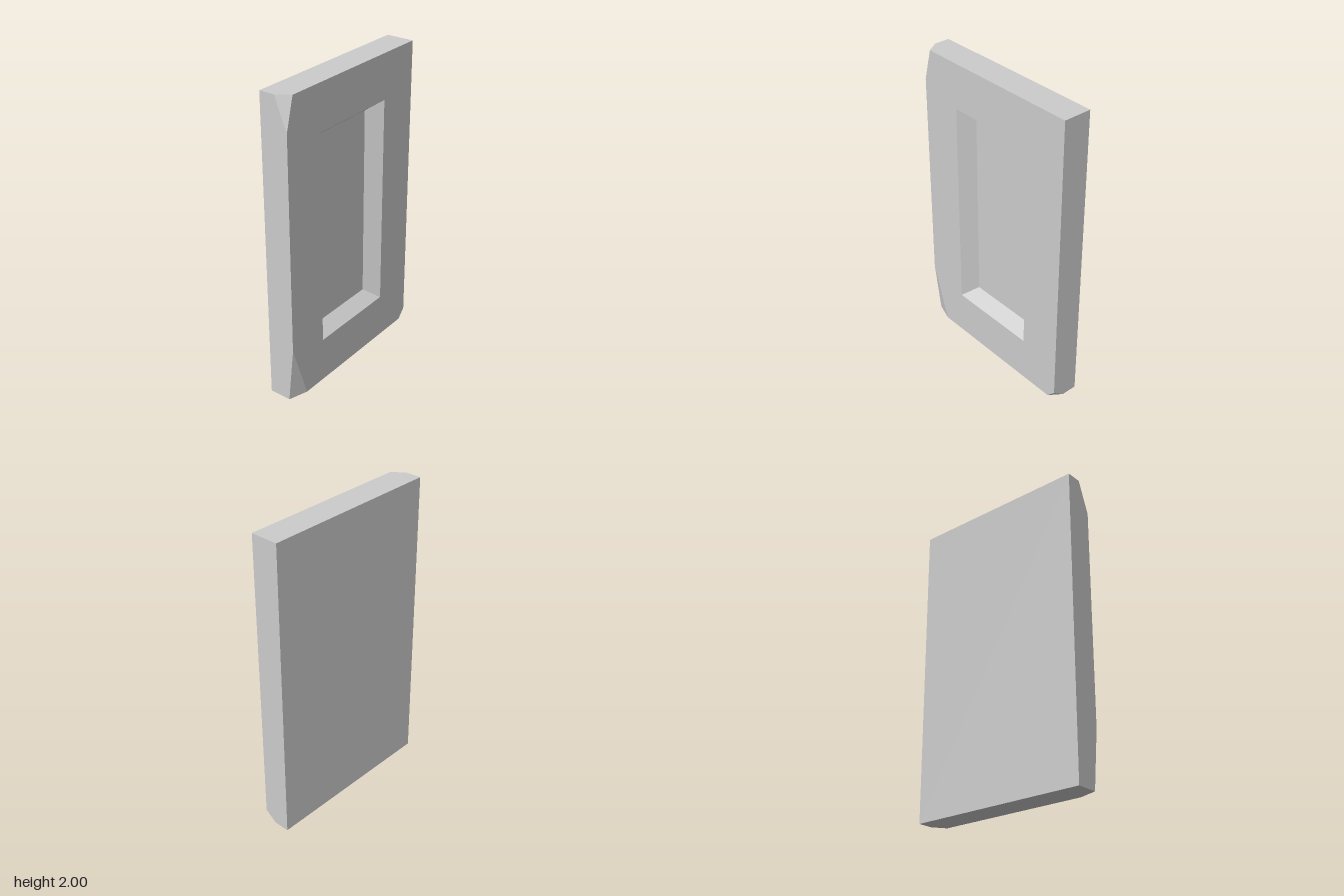
import * as THREE from 'three';

const W = 0.6, H = 2, D = 0.092; // half width, height, half thickness
const FLOOR = 0.002;             // z of the recessed panel

// Chipped front corners: side, end height, and cut length along x, y and z
const chips = [
  { name: 'chipBottomRight', sx: -1, y: 0, cut: [0.125, 0.38, 0.04] },
  { name: 'chipBottomLeft', sx: 1, y: 0, cut: [0.057, 0.06, 0.08] },
  { name: 'chipTopRight', sx: -1, y: H, cut: [0.055, 0.205, 0.082] },
].map(({ name, sx, y, cut }) => {
  const sy = y ? -1 : 1;
  return {
    name,
    flip: sx * sy > 0,
    x: [sx * (W - cut[0]), y, D],
    y: [sx * W, y + sy * cut[1], D],
    z: [sx * W, y, D - cut[2]],
  };
});

// Flat convex polygons, corners counter-clockwise seen from outside
function polygons(list) {
  const pos = [];
  for (const p of list)
    for (let i = 1; i < p.length - 1; i++) pos.push(...p[0], ...p[i], ...p[i + 1]);
  const g = new THREE.BufferGeometry();
  g.setAttribute('position', new THREE.Float32BufferAttribute(pos, 3));
  g.computeVertexNormals();
  return g;
}

const rect = (x, y0, y1, z) => [[-x, y0, z], [x, y0, z], [x, y1, z], [-x, y1, z]];

export function createModel() {
  const group = new THREE.Group();
  group.name = 'recessedSlab';
  const material = new THREE.MeshStandardMaterial({ color: 0xcccccc, flatShading: true });
  const add = (name, geometry) => {
    const mesh = new THREE.Mesh(geometry, material);
    mesh.name = name;
    group.add(mesh);
  };
  const [br, bl, tr] = chips;

  // Front frame with the panel opening
  const outer = rect(0.31, 0.3, 1.705, D);
  const inner = rect(0.234, 0.365, 1.64, FLOOR);
  const to2 = (pts) => pts.map(([x, y]) => new THREE.Vector2(x, y));
  const frame = new THREE.Shape(to2([br.x, bl.x, bl.y, [W, H], tr.x, tr.y, br.y]));
  frame.holes.push(new THREE.Path(to2(outer)));
  add('frontFrame', new THREE.ShapeGeometry(frame).translate(0, 0, D));

  // Sloping recess walls and the panel at their foot
  add('recessWalls', polygons(outer.map((p, i) => {
    const j = (i + 1) % 4;
    return [p, outer[j], inner[j], inner[i]];
  })));
  add('recessPanel', polygons([inner]));

  // Back and edges, trimmed where the corners are chipped
  add('back', polygons([rect(W, 0, H, -D).reverse()]));
  add('bottomEdge', polygons([[[-W, 0, -D], [W, 0, -D], bl.z, bl.x, br.x, br.z]]));
  add('topEdge', polygons([[[-W, H, -D], tr.z, tr.x, [W, H, D], [W, H, -D]]]));
  add('leftEdge', polygons([[[W, 0, -D], [W, H, -D], [W, H, D], bl.y, bl.z]]));
  add('rightEdge', polygons([[[-W, 0, -D], br.z, br.y, tr.y, tr.z, [-W, H, -D]]]));

  // Broken corner faces
  for (const c of chips)
    add(c.name, polygons([c.flip ? [c.x, c.z, c.y] : [c.x, c.y, c.z]]));

  // Mirrored winding: a chip flips once per mirrored axis
  return group;
}
